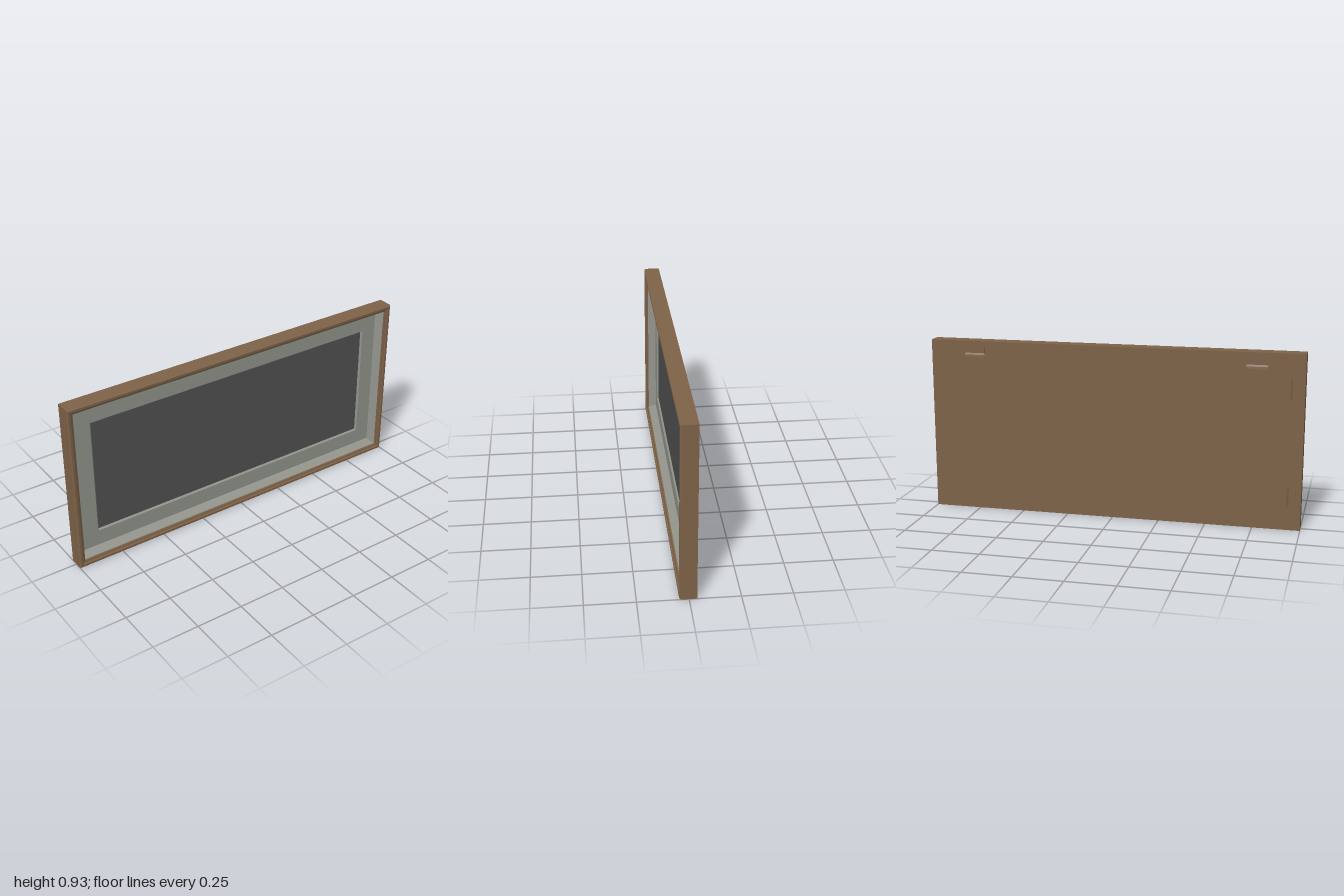
import * as THREE from 'three';

const W = 2, H = 0.93, CY = H / 2, BACK = -0.038;
const MAT_Z = -0.012, PICTURE_Z = -0.021, OPENING = 0.151;

function material(name, color) {
  const m = new THREE.MeshStandardMaterial({ color });
  m.name = name;
  return m;
}

// Sweeps a profile of [inset, z] points around the rectangle with mitred corners
function mitredRing(profile) {
  const pos = [];
  const corner = ([inset, z], k) => {
    const x = W / 2 - inset, y = H / 2 - inset;
    return [k === 0 || k === 3 ? -x : x, CY + (k < 2 ? -y : y), z];
  };
  for (let i = 0; i < profile.length - 1; i++) {
    for (let k = 0; k < 4; k++) {
      const n = (k + 1) % 4;
      const a = corner(profile[i], k), b = corner(profile[i], n);
      const c = corner(profile[i + 1], n), d = corner(profile[i + 1], k);
      pos.push(...a, ...b, ...c, ...a, ...c, ...d);
    }
  }
  const g = new THREE.BufferGeometry();
  g.setAttribute('position', new THREE.Float32BufferAttribute(pos, 3));
  g.computeVertexNormals();
  return g;
}

function add(parent, name, geometry, mat) {
  const mesh = new THREE.Mesh(geometry, mat);
  mesh.name = name;
  parent.add(mesh);
  return mesh;
}

// Bent hanging plate: flat top screwed to the back, lip flaring outwards below
function makeHanger(mat) {
  const hanger = new THREE.Group();
  hanger.name = 'hanger';
  const shape = new THREE.Shape([
    [0, 0.025], [0, -0.01], [0.0065, -0.019], [0.008, -0.03],
    [0.01, -0.03], [0.0088, -0.018], [0.0025, -0.009], [0.0025, 0.025],
  ].map(([u, v]) => new THREE.Vector2(u, v)));
  const plate = new THREE.ExtrudeGeometry(shape, { depth: 0.11, bevelEnabled: false });
  plate.translate(0, 0, -0.055).rotateY(Math.PI / 2);
  add(hanger, 'hangerPlate', plate, mat);
  for (const [x, y] of [[-0.035, 0.014], [0, 0.004], [0.035, 0.014]]) {
    const screw = new THREE.CylinderGeometry(0.004, 0.004, 0.0015, 12).rotateX(Math.PI / 2);
    add(hanger, 'screw', screw, mat).position.set(x, y, -0.003);
  }
  return hanger;
}

export function createModel() {
  const model = new THREE.Group();
  model.name = 'pictureFrame';
  const wood = material('brown wood', 0x7d6248);
  const card = material('grey card', 0x92948c);
  const dark = material('dark picture', 0x515151);

  // Moulded wooden frame
  add(model, 'frame', mitredRing([
    [0, BACK], [0, 0.041], [0.006, 0.048], [0.018, 0.048],
    [0.021, 0.041], [0.033, 0.037], [0.034, 0.03],
  ]), wood);

  // Sloping liner, flat mat and bevelled opening
  add(model, 'liner', mitredRing([[0.034, 0.03], [0.057, MAT_Z]]), card);
  add(model, 'mat', mitredRing([[0.057, MAT_Z], [OPENING - 0.008, MAT_Z]]), card);
  add(model, 'matBevel', mitredRing([[OPENING - 0.008, MAT_Z], [OPENING, PICTURE_Z]]), card);

  // Picture surface
  add(model, 'picture', new THREE.PlaneGeometry(W - 2 * OPENING, H - 2 * OPENING), dark)
    .position.set(0, CY, PICTURE_Z);

  // Back board
  add(model, 'backBoard', new THREE.PlaneGeometry(W, H).rotateY(Math.PI), wood)
    .position.set(0, CY, BACK);

  // Hangers: two along the top, two turned sideways on one edge
  for (const [x, y, turn] of [
    [-0.755, 0.875, 0], [0.755, 0.875, 0],
    [-0.945, 0.747, Math.PI / 2], [-0.945, 0.183, Math.PI / 2],
  ]) {
    const hanger = makeHanger(wood);
    hanger.position.set(x, y, BACK);
    hanger.rotation.z = turn;
    model.add(hanger);
  }
  return model;
}
